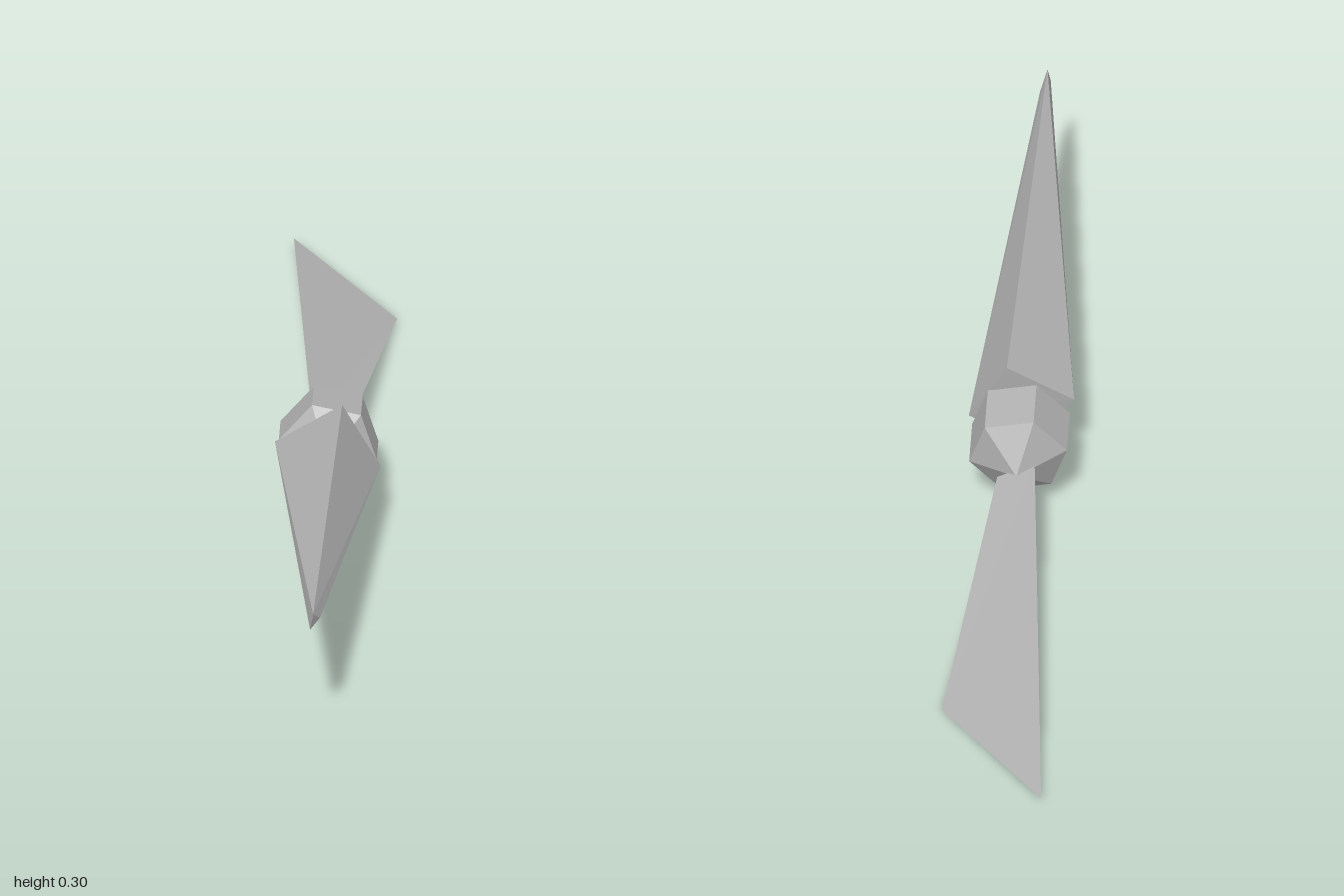
import * as THREE from 'three';
import { ConvexGeometry } from 'three/addons/geometries/ConvexGeometry.js';

const V = (x, y, z) => new THREE.Vector3(x, y, z);

export function createModel() {
  const group = new THREE.Group();
  const grey = new THREE.MeshStandardMaterial({ color: 0xb0b0b0, flatShading: true, side: THREE.DoubleSide });
  grey.name = 'plain grey';

  const add = (name, geometry) => {
    const mesh = new THREE.Mesh(geometry, grey);
    mesh.name = name;
    group.add(mesh);
    return mesh;
  };

  // Long spike: square root tapering to a small bevelled tip
  add('spike', new ConvexGeometry([
    V(0, 0.252, 0.105), V(0.068, 0.122, 0.143), V(-0.06, 0.042, 0.112), V(-0.13, 0.172, 0.07),
    V(-0.344, 0.297, 0.995), V(-0.32, 0.27, 0.965), V(-0.352, 0.266, 1.0), V(-0.346, 0.283, 0.99),
  ]));

  // Hub: six-sided drum with a shallow cone at each end, turned along the spike
  const axis = V(-0.33, 0.143, 0.933).normalize();
  const corner = V(0.092, -0.02, 0.03);
  corner.addScaledVector(axis, -corner.dot(axis)).normalize();
  const sideways = V(0, 0, 0).crossVectors(axis, corner);
  const profile = [[0, -0.06], [0.1, 0], [0.1, 0.107], [0, 0.167]];
  const hub = add('hub', new THREE.LatheGeometry(profile.map(([r, y]) => new THREE.Vector2(r, y)), 6));
  hub.quaternion.setFromRotationMatrix(new THREE.Matrix4().makeBasis(sideways, axis, corner));
  hub.position.set(0.013, 0.125, -0.02);

  // Flat blade, widening from the hub to an angled end
  const blade = new THREE.BufferGeometry().setFromPoints([
    V(-0.01, 0.13, -0.06), V(0.068, 0.112, -0.06), V(0.352, 0, -0.64), V(0.25, 0.012, -1.0),
  ]);
  blade.setIndex([0, 1, 2, 0, 2, 3]);
  blade.computeVertexNormals();
  add('blade', blade);

  return group;
}
